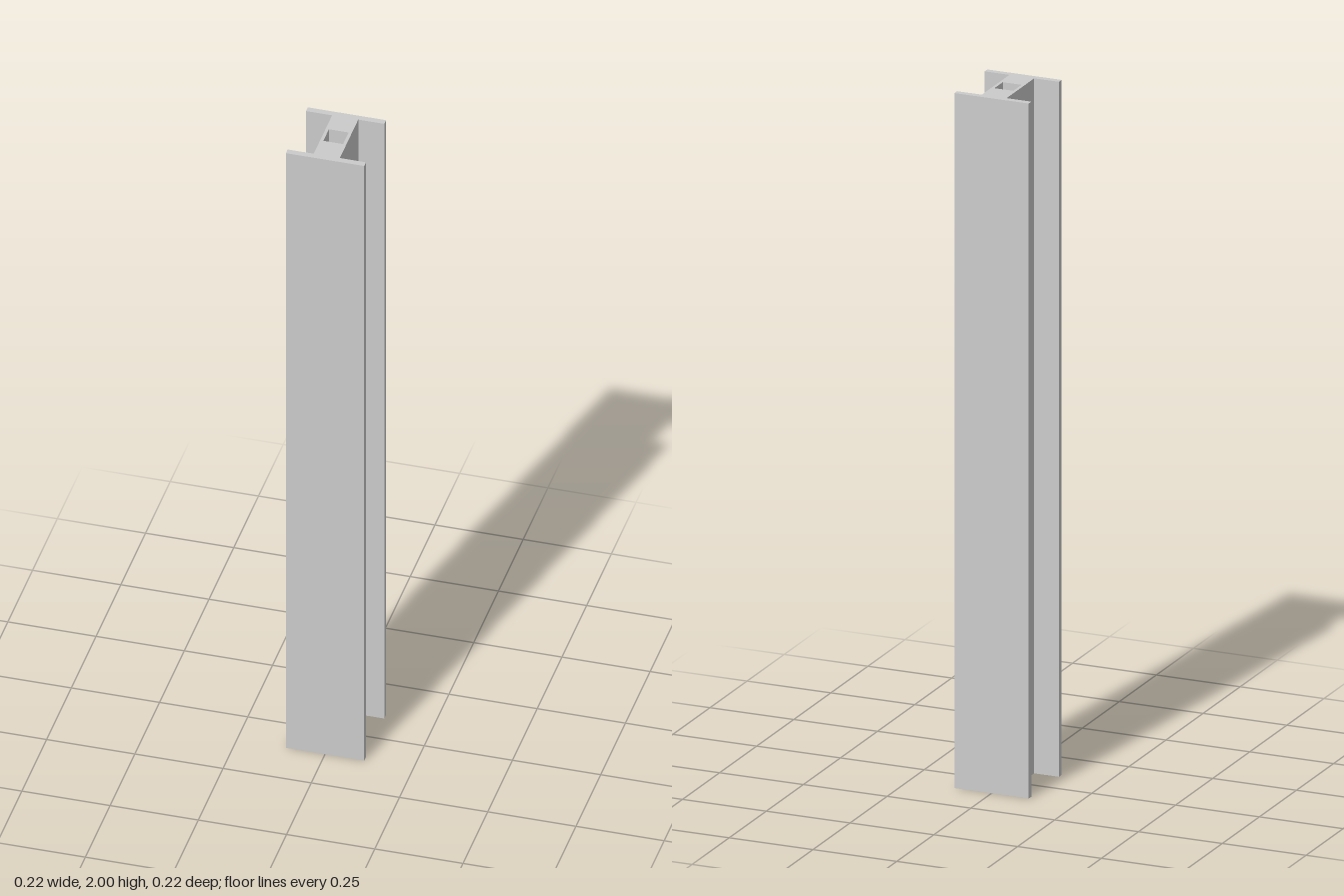
import * as THREE from 'three';

const HEIGHT = 2, HALF = 0.111, FLANGE = 0.018, WEB = 0.037;
const SOCKET = 0.028, DEPTH = 0.1;

export function createModel() {
  const beam = new THREE.Group();
  beam.name = 'beam';
  const material = new THREE.MeshStandardMaterial({ color: 0xcccccc, flatShading: true });

  const add = (name, geometry, y, z) => {
    const mesh = new THREE.Mesh(geometry, material);
    mesh.name = name;
    mesh.position.set(0, y, z);
    beam.add(mesh);
  };

  // Front and back flange plates
  for (const [name, side] of [['frontFlange', 1], ['backFlange', -1]]) {
    add(name, new THREE.BoxGeometry(HALF * 2, HEIGHT, FLANGE), HEIGHT / 2, side * (HALF - FLANGE / 2));
  }

  // Solid web between the flanges, up to the socket floor
  const webHalf = HALF - FLANGE;
  const solid = HEIGHT - DEPTH;
  add('web', new THREE.BoxGeometry(WEB * 2, solid, webHalf * 2), solid / 2, 0);

  // Top of the web with a square socket
  const rectangle = (Path, w, h) =>
    new Path([[-w, -h], [w, -h], [w, h], [-w, h]].map(([x, y]) => new THREE.Vector2(x, y)));
  const outline = rectangle(THREE.Shape, WEB, webHalf);
  outline.holes.push(rectangle(THREE.Path, SOCKET, SOCKET));
  const socket = new THREE.ExtrudeGeometry(outline, { depth: DEPTH, bevelEnabled: false });
  socket.rotateX(-Math.PI / 2);
  add('webSocket', socket, solid, 0);

  return beam;
}
